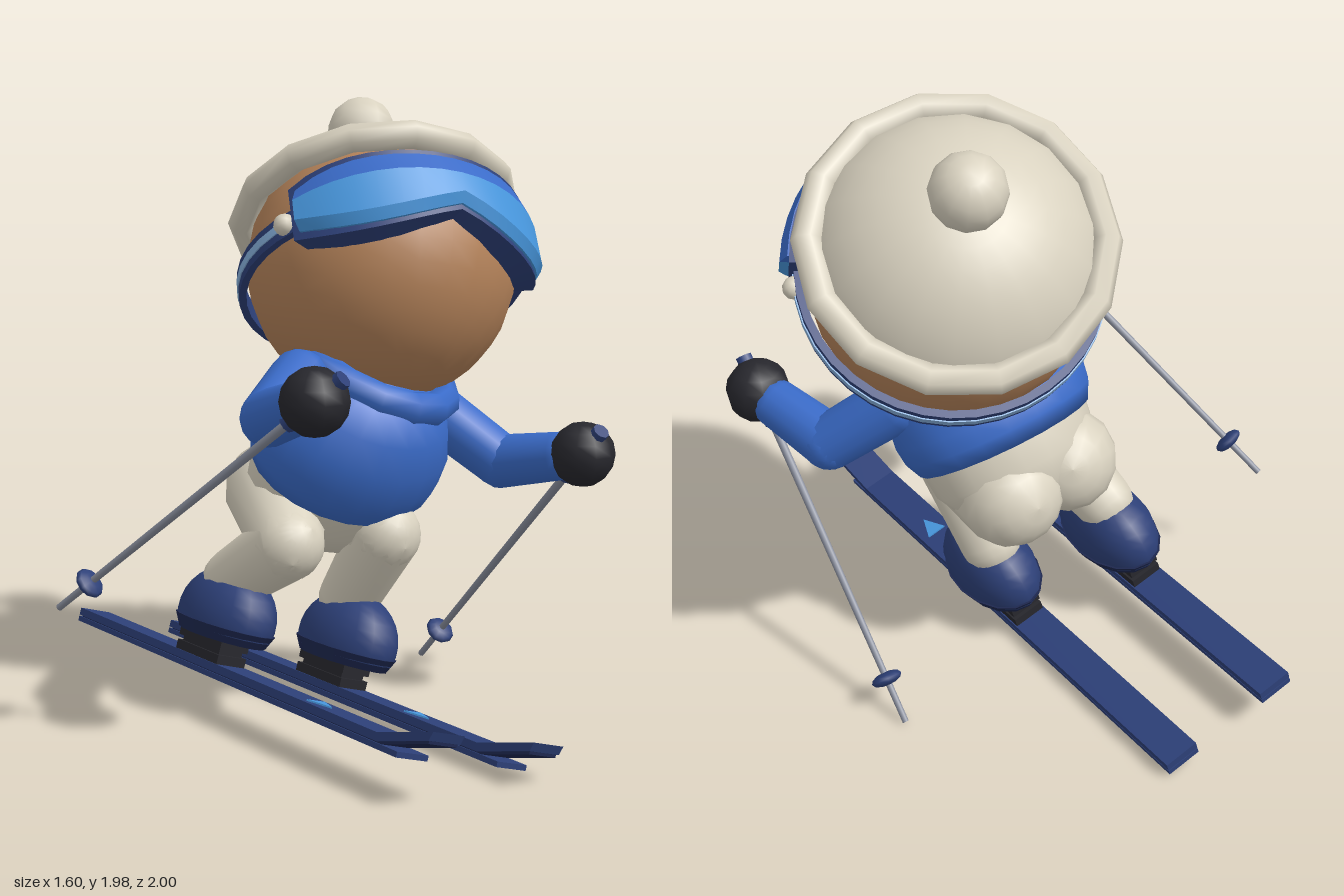
import * as THREE from 'three';
import { toCreasedNormals } from 'three/addons/utils/BufferGeometryUtils.js';

const V = (x, y, z) => new THREE.Vector3(x, y, z);
const UP = V(0, 1, 0);

function makeMaterials() {
  const colours = {
    skin: 0xb5835a, cream: 0xd9d2c0, jacketBlue: 0x3a6bc8, navy: 0x2d4078, darkNavy: 0x1e2850,
    black: 0x27272d, lensBlue: 0x4796dc, paleBlue: 0x86b0dc, steel: 0x858a98,
  };
  const mats = {};
  for (const [name, color] of Object.entries(colours)) {
    mats[name] = new THREE.MeshStandardMaterial({ color });
    mats[name].name = name;
  }
  return mats;
}

function add(parent, name, geo, mat, pos = V(0, 0, 0)) {
  const m = new THREE.Mesh(geo, mat);
  m.name = name;
  m.position.copy(pos);
  parent.add(m);
  return m;
}

// Tapered limb with rounded ends, from a to b
function limb(parent, name, a, b, ra, rb, mat) {
  const len = a.distanceTo(b), pts = [];
  for (let i = 0; i <= 5; i++) {
    const t = (i / 5) * Math.PI / 2;
    pts.push(new THREE.Vector2(ra * Math.sin(t), -ra * Math.cos(t)));
  }
  for (let i = 0; i <= 5; i++) {
    const t = (i / 5) * Math.PI / 2;
    pts.push(new THREE.Vector2(rb * Math.cos(t), len + rb * Math.sin(t)));
  }
  const m = add(parent, name, new THREE.LatheGeometry(pts, 14), mat, a);
  m.quaternion.setFromUnitVectors(UP, b.clone().sub(a).normalize());
  return m;
}

// Solid swept round the y axis from angle a0 to a1; section(u) gives [radius, y] points
function sweep(a0, a1, steps, section) {
  const pos = [], idx = [];
  let n = 0;
  for (let i = 0; i <= steps; i++) {
    const a = a0 + (a1 - a0) * i / steps;
    const pts = section(2 * i / steps - 1);
    n = pts.length;
    for (const [r, y] of pts) pos.push(r * Math.sin(a), y, r * Math.cos(a));
  }
  for (let i = 0; i < steps; i++) {
    for (let j = 0; j < n; j++) {
      const k = (j + 1) % n, p = i * n, q = p + n;
      idx.push(p + j, q + j, p + k, q + j, q + k, p + k);
    }
  }
  const e = steps * n;
  for (let j = 1; j < n - 1; j++) idx.push(0, j, j + 1, e, e + j + 1, e + j);
  const g = new THREE.BufferGeometry();
  g.setAttribute('position', new THREE.Float32BufferAttribute(pos, 3));
  g.setIndex(idx);
  return toCreasedNormals(g, 0.6);
}

// Head, hat and goggles, in the head's own tilted frame
function buildHead(m) {
  const head = new THREE.Group();
  head.name = 'head';
  const up = V(0.26, 0.79, -0.555).normalize();
  const fwd = V(0, 0.575, 0.818).normalize();
  const side = up.clone().cross(fwd).normalize();
  head.quaternion.setFromRotationMatrix(new THREE.Matrix4().makeBasis(side, up, side.clone().cross(up)));
  head.position.set(0.27, 1.43, -0.07);
  add(head, 'face', new THREE.SphereGeometry(0.44, 24, 18), m.skin);

  // hat
  add(head, 'hatDome', new THREE.SphereGeometry(0.465, 18, 8, 0, Math.PI * 2, 0, 1.1), m.cream);
  const brim = add(head, 'hatBrim', new THREE.TorusGeometry(0.438, 0.047, 7, 14), m.cream, V(0, 0.215, 0));
  brim.rotation.x = Math.PI / 2;
  add(head, 'pompom', new THREE.SphereGeometry(0.115, 12, 10), m.cream, V(0, 0.556, 0));

  // goggles
  const A = 1.14;
  const top = u => 0.12 - 0.05 * u ** 4;
  const low = u => -0.085 - 0.075 * Math.sin(Math.PI * Math.abs(u) * 0.85);
  const split = u => 0.035 - 0.03 * u * u;
  add(head, 'goggleFrame', sweep(-A, A, 16, u =>
    [[0.41, low(u)], [0.488, low(u)], [0.488, top(u)], [0.41, top(u)]]), m.navy);
  const B = A * 0.95;
  add(head, 'gogglesLens', sweep(-B, B, 16, u =>
    [[0.47, low(u) + 0.018], [0.495, low(u) + 0.018], [0.518, low(u) + 0.05], [0.516, split(u)], [0.47, split(u)]]), m.lensBlue);
  add(head, 'gogglesLensTop', sweep(-B, B, 16, u =>
    [[0.47, split(u)], [0.516, split(u)], [0.493, top(u) - 0.018], [0.47, top(u) - 0.018]]), m.jacketBlue);

  // strap round the back
  const band = (r0, r1, h) => sweep(A, 2 * Math.PI - A, 24, () =>
    [[r0, -0.035 - h], [r1, -0.035 - h], [r1, -0.035 + h], [r0, -0.035 + h]]);
  add(head, 'strap', band(0.45, 0.474, 0.04), m.navy);
  add(head, 'strapStripe', band(0.47, 0.478, 0.014), m.paleBlue);
  for (const s of [-1, 1]) {
    add(head, 'strapButton', new THREE.SphereGeometry(0.036, 10, 8), m.cream,
      V(s * 0.475 * Math.sin(1.22), -0.035, 0.475 * Math.cos(1.22)));
  }
  return head;
}

// Jacket body, collar and trouser seat on one leaning axis
function buildTorso(g, m) {
  const axis = V(0.12, 0.83, 0.54).normalize();
  const torso = new THREE.Group();
  torso.name = 'torso';
  torso.position.set(0.11, 0.86, -0.03);
  torso.quaternion.setFromUnitVectors(UP, axis);
  torso.scale.x = 1.17;
  g.add(torso);
  const lathe = pts => new THREE.LatheGeometry(pts.map(p => new THREE.Vector2(...p)), 20);
  add(torso, 'jacket', lathe([[0, -0.11], [0.262, -0.115], [0.285, -0.06], [0.292, 0], [0.282, 0.09],
    [0.24, 0.19], [0.17, 0.26], [0, 0.3]]), m.jacketBlue);
  add(torso, 'trouserSeat', lathe([[0, -0.38], [0.12, -0.355], [0.2, -0.29], [0.245, -0.2], [0.255, -0.1]]), m.cream);
  const collar = add(g, 'collar', new THREE.TorusGeometry(0.25, 0.055, 8, 14), m.jacketBlue, V(0.19, 1.11, 0));
  collar.quaternion.setFromUnitVectors(V(0, 0, 1), V(0.2, 0.88, 0.4).normalize());
}

// Arm, mitten and ski pole
function buildArm(g, m, side, shoulder, elbow, hand, tip) {
  const arm = new THREE.Group();
  arm.name = side + 'Arm';
  g.add(arm);
  limb(arm, 'upperSleeve', shoulder, elbow, 0.095, 0.09, m.jacketBlue);
  limb(arm, 'lowerSleeve', elbow, elbow.clone().lerp(hand, 0.72), 0.09, 0.08, m.jacketBlue);
  add(arm, 'mitten', new THREE.SphereGeometry(0.106, 10, 8), m.black, hand);
  const dir = hand.clone().sub(tip).normalize();
  const along = (name, geo, mat, pos) =>
    add(arm, name, geo, mat, pos).quaternion.setFromUnitVectors(UP, dir);
  along('pole', new THREE.CylinderGeometry(0.015, 0.011, hand.distanceTo(tip), 8), m.steel, hand.clone().lerp(tip, 0.5));
  along('poleGrip', new THREE.CylinderGeometry(0.028, 0.028, 0.24, 8), m.navy, hand);
  const basket = new THREE.SphereGeometry(0.052, 10, 6).scale(1, 0.42, 1);
  along('poleBasket', basket, m.navy, tip.clone().addScaledVector(dir, 0.15));
}

// Ski with binding and boot, rolled sideways
function buildSki(g, m, side, x, y, bootZ) {
  const ski = new THREE.Group();
  ski.name = side + 'Ski';
  ski.position.set(x, y, 0);
  ski.rotation.z = -0.29;
  g.add(ski);
  const plank = (pts, width) => {
    const geo = new THREE.ExtrudeGeometry(new THREE.Shape(pts.map(p => new THREE.Vector2(...p))),
      { depth: width, bevelEnabled: false });
    return geo.translate(0, 0, -width / 2).rotateY(-Math.PI / 2);
  };
  add(ski, 'plank', plank([[-1, -0.004], [0.77, -0.004], [0.99, 0.055], [1, 0.083], [0.76, 0.021], [-1, 0.021]], 0.118), m.navy);
  add(ski, 'core', plank([[-0.985, -0.01], [0.78, -0.01], [0.985, 0.045], [0.985, 0.06], [0.77, 0], [-0.985, 0]], 0.105), m.darkNavy);
  add(ski, 'base', plank([[-1, -0.025], [0.87, -0.025], [0.87, -0.008], [-1, -0.008]], 0.118), m.navy);
  const arrow = new THREE.Shape([[-0.035, 0], [0.035, 0], [0, 0.085]].map(p => new THREE.Vector2(...p)));
  const arrowGeo = new THREE.ExtrudeGeometry(arrow, { depth: 0.006, bevelEnabled: false }).rotateX(Math.PI / 2);
  add(ski, 'arrowMark', arrowGeo, m.lensBlue, V(0, 0.026, 0.375));

  // binding
  const bz = bootZ - 0.04;
  add(ski, 'bindingPlate', new THREE.BoxGeometry(0.11, 0.03, 0.25), m.black, V(0, 0.036, bz));
  add(ski, 'bindingBlock', new THREE.BoxGeometry(0.09, 0.02, 0.22), m.black, V(0, 0.06, bz));
  add(ski, 'bindingTop', new THREE.BoxGeometry(0.11, 0.035, 0.25), m.black, V(0, 0.085, bz));

  // boot
  add(ski, 'bootSole', new THREE.CylinderGeometry(0.136, 0.118, 0.045, 16).scale(1, 1, 1.62), m.darkNavy, V(0, 0.122, bootZ));
  const dome = new THREE.SphereGeometry(1, 16, 9, 0, Math.PI * 2, 0, 1.85).scale(0.132, 0.165, 0.216);
  add(ski, 'boot', dome, m.navy, V(0, 0.168, bootZ));
}

function buildLeg(g, m, side, hip, knee, ankle) {
  const leg = new THREE.Group();
  leg.name = side + 'Leg';
  g.add(leg);
  limb(leg, 'thigh', hip, knee, 0.17, 0.118, m.cream);
  limb(leg, 'shin', knee, ankle, 0.118, 0.1, m.cream);
}

export function createModel() {
  const g = new THREE.Group();
  g.name = 'skier';
  const m = makeMaterials();
  g.add(buildHead(m));
  buildTorso(g, m);
  buildArm(g, m, 'left', V(0.43, 0.95, 0.03), V(0.59, 0.79, 0.17), V(0.67, 0.85, 0.48), V(0.65, 0.01, -0.33));
  buildArm(g, m, 'right', V(-0.14, 1.11, 0.05), V(-0.34, 1.02, 0.18), V(-0.38, 1.11, 0.48), V(-0.8, 0.39, -0.33));
  buildLeg(g, m, 'left', V(0.18, 0.66, -0.24), V(0.17, 0.58, 0.09), V(0.14, 0.34, -0.07));
  buildLeg(g, m, 'right', V(-0.04, 0.7, -0.23), V(-0.17, 0.58, 0.03), V(-0.23, 0.43, -0.2));
  buildSki(g, m, 'left', 0.06, 0.05, -0.03);
  buildSki(g, m, 'right', -0.31, 0.15, -0.19);
  return g;
}
